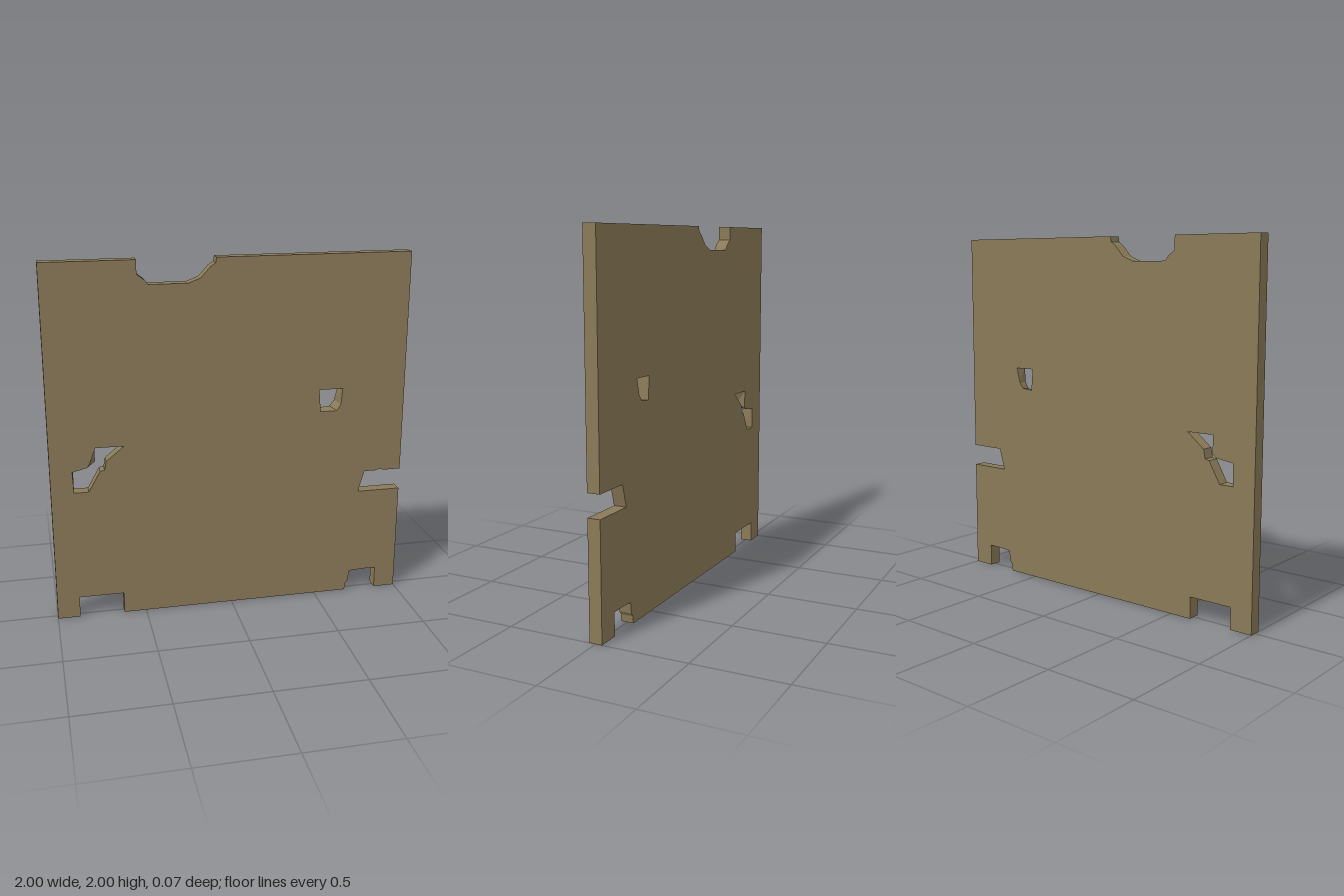
import * as THREE from 'three';

const HALF = 0.035; // half the thickness of the panel

// Joins matching front and back loops with flat walls
function wallGeometry(front, back) {
  const pos = [];
  front.forEach((a, i) => {
    const j = (i + 1) % front.length;
    const b = front[j], c = back[j], d = back[i];
    pos.push(a[0], a[1], HALF, d[0], d[1], -HALF, c[0], c[1], -HALF);
    pos.push(a[0], a[1], HALF, c[0], c[1], -HALF, b[0], b[1], HALF);
  });
  const g = new THREE.BufferGeometry();
  g.setAttribute('position', new THREE.Float32BufferAttribute(pos, 3));
  g.computeVertexNormals();
  return g;
}

// Flat face with holes
function faceGeometry(outline, holes) {
  const v = (loop) => loop.map(([x, y]) => new THREE.Vector2(x, y));
  const shape = new THREE.Shape(v(outline));
  holes.forEach((h) => shape.holes.push(new THREE.Path(v(h))));
  return new THREE.ShapeGeometry(shape);
}

export function createModel() {
  const group = new THREE.Group();
  group.name = 'wornPanel';
  const wood = new THREE.MeshStandardMaterial({ color: 0x8a7a58 });
  wood.name = 'weathered brown';

  const add = (name, geometry) => {
    const mesh = new THREE.Mesh(geometry, wood);
    mesh.name = name;
    group.add(mesh);
    return mesh;
  };

  // Outer edge, counter-clockwise, with chipped notches
  const outline = (chip) => [
    [-1, 0], [-0.875, 0], [-0.875, 0.12], [-0.625, 0.12], [-0.625, 0],
    // lower right notch
    [0.69, 0], [0.695, 0.04], [0.71, 0.06], [0.717, 0.12], [0.79, 0.125], [0.877, 0.125], [0.877, 0],
    // slot in the right edge
    [1, 0], [1, 0.625], [0.75, 0.625], [0.785, 0.747], [0.85, 0.747], [0.877, 0.747 + chip], [0.9, 0.747], [1, 0.747],
    // broken top edge
    [1, 2], [-0.08, 2], [-0.085, 1.97], [-0.11, 1.955], [-0.165, 1.895], [-0.23, 1.87],
    [-0.44, 1.87], [-0.46, 1.895], [-0.5, 1.925], [-0.5, 2], [-1, 2],
  ];

  // Holes, clockwise, with slightly different front and back rims
  const jaggedRest = [[-0.595, 1], [-0.695, 0.92], [-0.705, 0.87], [-0.73, 0.865], [-0.795, 0.75], [-0.875, 0.75]];
  const jaggedFront = [...jaggedRest, [-0.88, 0.87], [-0.8, 0.89], [-0.785, 0.91], [-0.75, 1]];
  const jaggedBack = [...jaggedRest, [-0.872, 0.87], [-0.775, 0.882], [-0.75, 0.9], [-0.75, 1]];
  const smallFront = [[0.5, 1.25], [0.635, 1.25], [0.628, 1.16], [0.605, 1.123], [0.51, 1.123]];
  const smallBack = [[0.503, 1.25], [0.63, 1.25], [0.608, 1.165], [0.582, 1.133], [0.515, 1.126]];

  const front = outline(0.008), back = outline(0);
  add('frontFace', faceGeometry(front, [jaggedFront, smallFront])).position.z = HALF;

  // Back face is mirrored, then turned to face -z
  const mirror = (loop) => loop.map(([x, y]) => [-x, y]);
  const backFace = add('backFace', faceGeometry(mirror(back), [jaggedBack, smallBack].map(mirror)));
  backFace.rotation.y = Math.PI;
  backFace.position.z = -HALF;

  add('outerEdge', wallGeometry(front, back));
  add('jaggedHoleEdge', wallGeometry(jaggedFront, jaggedBack));
  add('smallHoleEdge', wallGeometry(smallFront, smallBack));
  return group;
}
